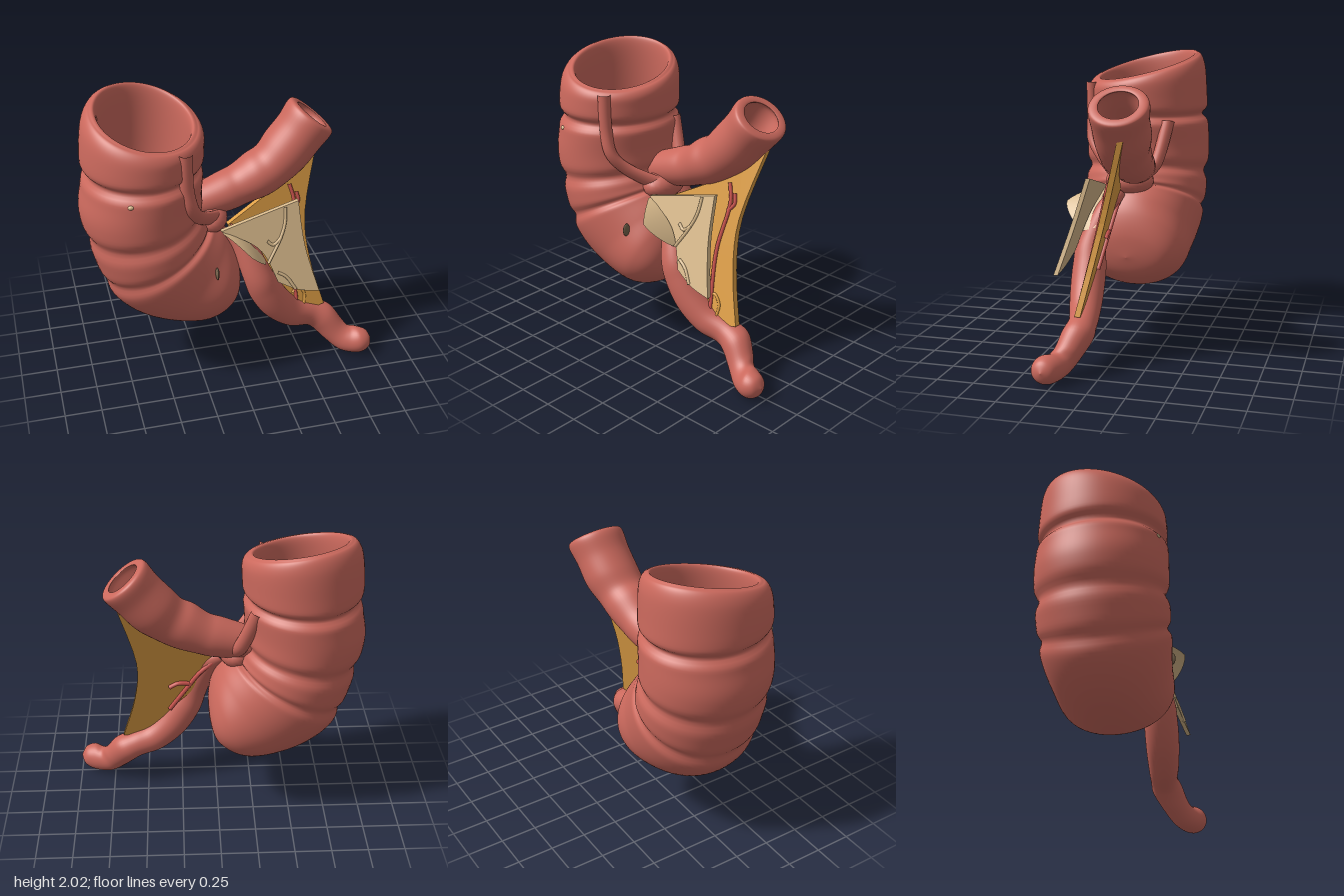
import * as THREE from 'three';

const mat = (name, color, side = THREE.FrontSide) => {
  const m = new THREE.MeshStandardMaterial({ color, side });
  m.name = name;
  return m;
};

// Smooth interpolation through rows of numbers
function smoothRows(rows, steps) {
  const out = [];
  const at = (i) => rows[Math.min(rows.length - 1, Math.max(0, i))];
  for (let i = 0; i < rows.length - 1; i++) {
    for (let s = 0; s < steps; s++) {
      const t = s / steps;
      out.push(at(i).map((b, k) => {
        const a = at(i - 1)[k], c = at(i + 1)[k], d = at(i + 2)[k];
        return b + 0.5 * t * (c - a + t * (2 * a - 5 * b + 4 * c - d + t * (3 * (b - c) + d - a)));
      }));
    }
  }
  out.push(rows[rows.length - 1]);
  return out;
}

// Skin over elliptical rings: [cx, cy, cz, ux, uy, depth radius, front tilt]
function loft(rows, steps, n, pinch = () => 1) {
  const rings = smoothRows(rows, steps), pos = [], idx = [];
  rings.forEach(([x, y, z, ux, uy, dz, tilt], i) => {
    const k = pinch(i / steps);
    for (let j = 0; j < n; j++) {
      const c = k * Math.cos(j / n * Math.PI * 2), s = k * Math.sin(j / n * Math.PI * 2);
      pos.push(x + ux * c, y + uy * c + tilt * s, z + dz * s);
    }
  });
  for (let i = 0; i < rings.length - 1; i++) {
    for (let j = 0; j < n; j++) {
      const a = i * n + j, b = i * n + (j + 1) % n;
      idx.push(a, b, a + n, b, b + n, a + n);
    }
  }
  const g = new THREE.BufferGeometry();
  g.setAttribute('position', new THREE.Float32BufferAttribute(pos, 3));
  g.setIndex(idx);
  g.computeVertexNormals();
  return g;
}

// Ring from its left and right ends
const span = ([lx, ly, rx, ry, dz, tilt = 0]) =>
  [(lx + rx) / 2, (ly + ry) / 2, 0, (rx - lx) / 2, (ry - ly) / 2, dz, tilt];

// Rings along a path of [x, y, z, radius]
const tubeRows = (pts, depth = 1) => pts.map(([x, y, z, r], i) => {
  const a = pts[Math.max(0, i - 1)], b = pts[Math.min(pts.length - 1, i + 1)];
  const l = Math.hypot(b[0] - a[0], b[1] - a[1]);
  return [x, y, z, -(b[1] - a[1]) / l * r, (b[0] - a[0]) / l * r, r * depth, 0];
});

// Sheet with smoothly curved edges, laid on a sloping surface zAt(x, y)
function sheet(edges, zAt, depth) {
  const shape = new THREE.Shape(edges.flatMap((edge) =>
    new THREE.SplineCurve(edge.map(([x, y]) => new THREE.Vector2(x, y))).getPoints(12).slice(0, -1)));
  const g = new THREE.ExtrudeGeometry(shape, { depth, bevelEnabled: false });
  const p = g.attributes.position;
  for (let i = 0; i < p.count; i++) p.setZ(i, p.getZ(i) - depth / 2 + zAt(p.getX(i), p.getY(i)));
  g.computeVertexNormals();
  return g;
}

export function createModel() {
  const group = new THREE.Group();
  const red = mat('bowel red', 0xcb695d);
  const orange = mat('mesentery orange', 0xe0a046);
  const cream = mat('fold cream', 0xd9ba8c, THREE.DoubleSide);
  const vessel = mat('vessel red', 0xcf5650);
  const dark = mat('dark olive', 0x77644c);
  const add = (name, geo, m) => {
    const mesh = new THREE.Mesh(geo, m);
    mesh.name = name;
    group.add(mesh);
    return mesh;
  };

  // Large pouch: floor, inner wall and rim, then down the outside
  const inside = [
    [-0.55, 0.78, -0.55, 0.78, 0],
    [-0.80, 0.92, -0.34, 1.05, 0.30],
    [-0.85, 1.40, -0.28, 1.45, 0.34],
    [-0.84, 1.91, -0.25, 1.83, 0.33, -0.07],
    [-0.89, 1.975, -0.20, 1.86, 0.375, -0.08],
  ];
  const outside = [
    [-0.945, 1.90, -0.165, 1.81, 0.415, -0.06],
    [-0.97, 1.72, -0.165, 1.70, 0.43],
    [-0.975, 1.50, -0.175, 1.53, 0.44],
    [-1.0, 1.28, -0.185, 1.36, 0.445],
    [-0.93, 0.95, -0.16, 1.18, 0.44],
    [-0.82, 0.65, -0.10, 1.12, 0.43],
    [-0.58, 0.45, -0.03, 1.05, 0.40],
    [-0.25, 0.375, 0.03, 0.94, 0.37],
    [-0.02, 0.48, 0.06, 0.80, 0.25],
    [0.055, 0.64, 0.055, 0.64, 0],
  ];
  // Folds: the wall narrows at these rows
  const folds = [[6.68, 0.10], [8.57, 0.07], [9.6, 0.06]];
  const pinch = (t) => folds.reduce((k, [at, d]) => k - d * Math.exp(-(((t - at) / 0.17) ** 2)), 1);
  add('pouch', loft([...inside, ...outside].map(span), 12, 72, pinch), red);

  // Muscle bands running down the pouch to the junction
  const bands = [
    [[-0.35, 1.81, 0.355, 0.045], [-0.345, 1.57, 0.35, 0.045], [-0.31, 1.40, 0.34, 0.045],
      [-0.24, 1.28, 0.25, 0.05], [-0.12, 1.18, 0.11, 0.06]],
    [[-0.26, 1.55, -0.22, 0.05], [-0.15, 1.27, -0.16, 0.05], [-0.08, 1.18, -0.06, 0.06]],
  ];
  bands.forEach((b) => add('muscleBand', loft(tubeRows(b, 0.9), 8, 20), red));

  // Side tube, turning inward at its open end
  const side = tubeRows([
    [-0.30, 1.21, -0.02, 0.10], [-0.02, 1.285, -0.04, 0.135], [0.10, 1.325, -0.05, 0.14],
    [0.22, 1.385, -0.05, 0.16], [0.32, 1.44, -0.06, 0.16], [0.42, 1.53, -0.08, 0.175],
    [0.52, 1.645, -0.09, 0.175], [0.59, 1.735, -0.10, 0.183], [0.612, 1.762, -0.10, 0.168],
  ], 1.08);
  const bore = side.slice(-6).reverse().map((r, i) => r.map((v, k) => (k > 2 ? v * (i === 5 ? 0 : 0.72) : v)));
  add('sideTube', loft([...side, ...bore], 6, 48), red);

  // Junction swelling where the tubes meet the pouch
  const ball = (name, m, p, s) => {
    const mesh = add(name, new THREE.SphereGeometry(1, 24, 16), m);
    mesh.position.set(...p);
    mesh.scale.set(...s);
  };
  ball('junction', red, [-0.13, 1.15, 0.02], [0.12, 0.10, 0.17]);

  // Narrow worm-like tube with a rounded tip
  add('wormTube', loft(tubeRows([
    [-0.03, 1.07, 0.08, 0.05], [0.06, 0.99, 0.13, 0.075], [0.155, 0.76, 0.21, 0.1],
    [0.22, 0.61, 0.21, 0.115], [0.315, 0.465, 0.20, 0.115], [0.44, 0.355, 0.18, 0.105],
    [0.57, 0.31, 0.155, 0.095], [0.66, 0.265, 0.16, 0.105], [0.74, 0.17, 0.20, 0.095],
    [0.81, 0.11, 0.25, 0.095], [0.90, 0.105, 0.29, 0.097], [0.97, 0.11, 0.3, 0.065], [1.0, 0.112, 0.3, 0],
  ]), 6, 36), red);

  // Orange membrane between the tubes
  const orangeZ = (x, y) => 0.348 - 0.137 * x - 0.248 * y;
  add('membrane', sheet([
    [[-0.02, 1.10], [0.16, 0.75], [0.38, 0.44], [0.5, 0.36]],
    [[0.5, 0.36], [0.67, 0.39]],
    [[0.67, 0.39], [0.575, 0.74], [0.55, 1.08], [0.655, 1.54]],
    [[0.655, 1.54], [0.4, 1.33], [-0.02, 1.10]],
  ], orangeZ, 0.04), orange);

  // Cream fold in front of it
  const creamZ = (x, y) => 0.15 + (1.25 - y) * 0.3;
  add('frontFold', sheet([
    [[-0.09, 1.12], [0.1, 1.02], [0.2, 0.92], [0.28, 0.73]],
    [[0.28, 0.73], [0.42, 0.66], [0.57, 0.63]],
    [[0.57, 0.63], [0.485, 0.95], [0.455, 1.26]],
    [[0.455, 1.26], [0.1, 1.17], [-0.09, 1.12]],
  ], creamZ, 0.03), cream);

  // Peeled flap, edge-on to the front
  const flap = new THREE.PlaneGeometry(1, 1, 12, 8);
  const fp = flap.attributes.position;
  for (let i = 0; i < fp.count; i++) {
    const u = fp.getX(i) + 0.5, v = fp.getY(i) + 0.5;
    const reach = 0.25 * Math.sin(Math.PI * (0.12 + 0.82 * u)) ** 0.6;
    fp.setXYZ(i, -0.08 + 0.29 * u, 1.11 - 0.06 * u - 0.17 * u * u - 0.03 * v * u,
      0.17 + reach * v * (0.4 + 0.6 * Math.min(1, u * 2)));
  }
  flap.computeVertexNormals();
  add('peeledFlap', flap, cream);

  // Branching vessels laid on the sheets
  const vessels = (name, m, zAt, lift, r, paths) => paths.forEach((path) => {
    const curve = new THREE.CatmullRomCurve3(path.map(([x, y]) => new THREE.Vector3(x, y, zAt(x, y) + lift)));
    add(name, new THREE.TubeGeometry(curve, 20, r, 8), m);
  });
  vessels('foldVessel', cream, creamZ, 0.018, 0.011, [
    [[0.36, 1.23], [0.35, 1.12], [0.31, 1.02], [0.22, 0.87]],
    [[0.32, 1.03], [0.26, 0.99], [0.22, 1.02]],
    [[0.28, 0.80], [0.34, 0.76], [0.40, 0.67]],
  ]);
  vessels('membraneVessel', vessel, orangeZ, 0.025, 0.013, [
    [[0.44, 1.30], [0.47, 1.18], [0.43, 0.85], [0.46, 0.45]],
    [[0.46, 1.12], [0.50, 1.17], [0.49, 1.24]],
  ]);
  vessels('membraneLoop', orange, orangeZ, 0.022, 0.01, [
    [[0.43, 0.52], [0.47, 0.56], [0.52, 0.5], [0.51, 0.40]],
  ]);
  vessels('rearVessel', vessel, orangeZ, -0.03, 0.016, [
    [[0.02, 1.04], [0.12, 0.94], [0.20, 0.82], [0.33, 0.62]],
    [[0.18, 0.85], [0.27, 0.86], [0.33, 0.83]],
  ]);

  // Small surface spots and the nub on the pouch floor
  ball('paleSpot', cream, [-0.71, 1.51, 0.405], [0.022, 0.015, 0.015]);
  ball('darkSpot', dark, [-0.155, 0.9, 0.365], [0.012, 0.045, 0.03]);
  ball('floorNub', red, [-0.59, 0.81, -0.02], [0.04, 0.06, 0.04]);
  return group;
}
